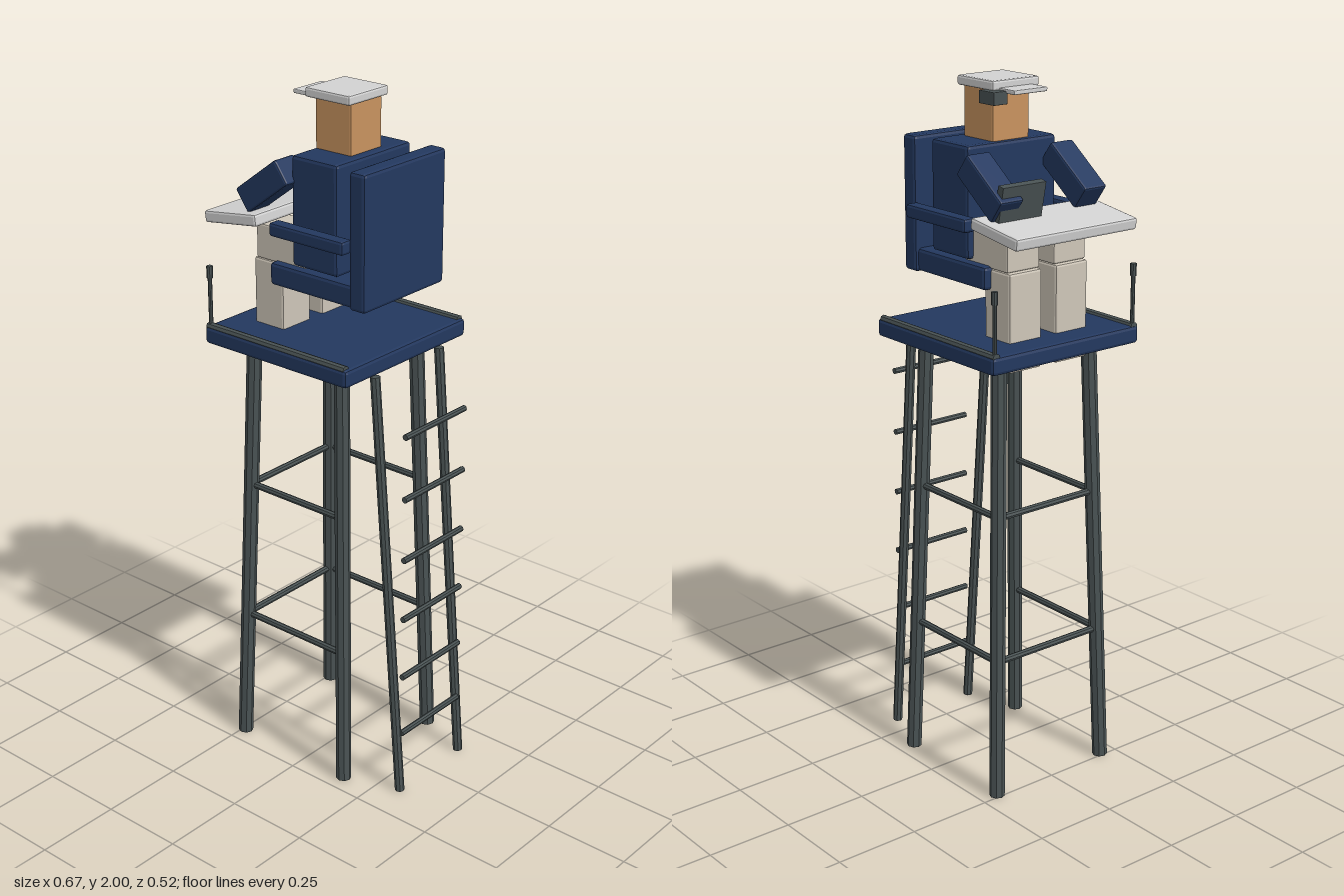
import * as THREE from 'three';
import { RoundedBoxGeometry } from 'three/addons/geometries/RoundedBoxGeometry.js';

const flat = (name, color) => {
  const m = new THREE.MeshStandardMaterial({ color, flatShading: true });
  m.name = name;
  return m;
};

export function createModel() {
  const model = new THREE.Group();
  model.name = 'watchtowerChair';
  const navy = flat('navy', 0x23385f);
  const steel = flat('darkSteel', 0x495253);
  const cream = flat('cream', 0xcec6b8);
  const white = flat('white', 0xd2d2d2);
  const skin = flat('skin', 0xc8935f);

  const add = (name, geometry, material) => {
    const mesh = new THREE.Mesh(geometry, material);
    mesh.name = name;
    model.add(mesh);
    return mesh;
  };
  // Chamfered box given by its limits on each axis
  const block = (name, material, [x0, x1], [y0, y1], [z0, z1], bevel = 0.008) => {
    const mesh = add(name, new RoundedBoxGeometry(x1 - x0, y1 - y0, z1 - z0, 1, bevel), material);
    mesh.position.set((x0 + x1) / 2, (y0 + y1) / 2, (z0 + z1) / 2);
    return mesh;
  };
  // Low-poly rod between two points
  const rod = (name, a, b, radius, sides = 8) => {
    const p = new THREE.Vector3(...a), q = new THREE.Vector3(...b);
    const d = q.clone().sub(p);
    const mesh = add(name, new THREE.CylinderGeometry(radius, radius, d.length(), sides), steel);
    mesh.position.copy(p).add(q).multiplyScalar(0.5);
    mesh.quaternion.setFromUnitVectors(new THREE.Vector3(0, 1, 0), d.normalize());
    return mesh;
  };

  // Tower: splayed legs, braced on three sides, open towards the ladder
  const cx = -0.043;
  const spread = (y) => 0.197 - 0.029 * y;
  const corner = (sx, sz, y) => [cx + sx * spread(y), y, sz * spread(y)];
  for (const sx of [-1, 1]) {
    for (const sz of [-1, 1]) rod('towerLeg', corner(sx, sz, 0), corner(sx, sz, 1.29), 0.022);
  }
  for (const y of [0.41, 0.835]) {
    for (const sz of [-1, 1]) rod('sideBrace', corner(-1, sz, y), corner(1, sz, y), 0.01);
    rod('endBrace', corner(-1, -1, y), corner(-1, 1, y), 0.01);
  }
  block('platform', navy, [-0.3, 0.214], [1.274, 1.325], [-0.258, 0.258], 0.01);

  // Platform edge rails and posts
  for (const s of [-1, 1]) {
    rod('edgeRail', [-0.296, 1.323, s * 0.244], [0.203, 1.323, s * 0.244], 0.012);
    rod('post', [-0.288, 1.32, s * 0.244], [-0.288, 1.5, s * 0.244], 0.006);
    rod('postTip', [-0.288, 1.465, s * 0.244], [-0.288, 1.5, s * 0.244], 0.009);
  }

  // Ladder
  for (const s of [-1, 1]) rod('ladderRail', [0.318, 0, s * 0.138], [0.215, 1.275, s * 0.138], 0.014);
  for (let i = 1; i <= 6; i++) {
    rod('ladderRung', [0.314, i * 0.187, -0.13], [0.314, i * 0.187, 0.13], 0.009);
  }

  // Chair
  block('seat', navy, [-0.142, 0.19], [1.457, 1.522], [-0.16, 0.16], 0.01);
  block('backrest', navy, [0.148, 0.202], [1.455, 1.835], [-0.169, 0.169], 0.01);
  for (const s of [-1, 1]) {
    block('armrest', navy, [-0.107, 0.152], [1.613, 1.652], [s * 0.18 - 0.02, s * 0.18 + 0.02]);
  }

  // Seated figure, facing -x
  block('torso', navy, [-0.066, 0.093], [1.527, 1.835], [-0.155, 0.152], 0.01);
  block('head', skin, [-0.058, 0.066], [1.832, 1.975], [-0.063, 0.063], 0.005);
  block('hat', white, [-0.08, 0.074], [1.973, 2.0], [-0.08, 0.08], 0.006);
  block('hatBrim', white, [-0.142, -0.07], [1.968, 1.98], [-0.058, 0.056], 0.003);
  block('eyepiece', steel, [-0.108, -0.044], [1.94, 1.975], [-0.1, -0.052], 0.002);
  for (const s of [-1, 1]) {
    const z = [s * 0.081 - 0.056, s * 0.081 + 0.056];
    block('thigh', cream, [-0.21, -0.03], [1.515, 1.615], z, 0.005);
    block('shin', cream, [-0.22, -0.114], [1.24, 1.515], z, 0.007);
    const arm = block('arm', navy, [-0.237, -0.057], [1.7, 1.775], [s * 0.145 - 0.039, s * 0.145 + 0.039], 0.006);
    arm.rotation.z = 0.64;
  }

  // Sloping desk with a leaning handheld panel
  const desk = block('desk', white, [-0.336, -0.144], [1.619, 1.653], [-0.21, 0.21], 0.007);
  desk.rotation.z = 0.14;
  const panel = block('handheldPanel', steel, [-0.225, -0.203], [1.643, 1.755], [-0.172, -0.026], 0.001);
  panel.rotation.z = 0.2;

  return model;
}
